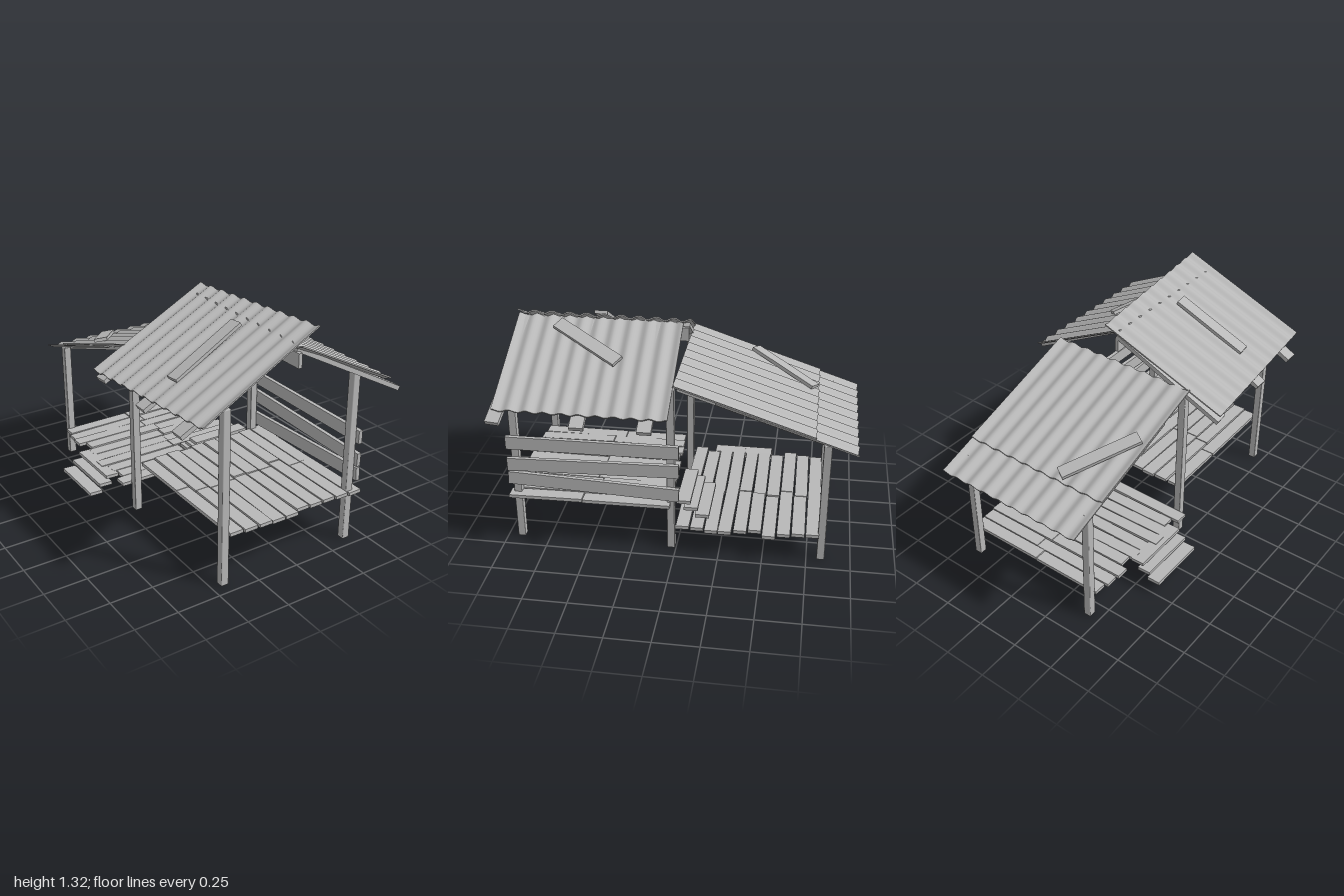
import * as THREE from 'three';
import { RoundedBoxGeometry } from 'three/addons/geometries/RoundedBoxGeometry.js';

const grey = new THREE.MeshStandardMaterial({ color: 0xb8b8b8 });
grey.name = 'weathered grey';
const deg = Math.PI / 180;

// Small repeatable wobble in the range -1..1
let seed = 7;
const wobble = () => {
  seed = (seed * 16807) % 2147483647;
  return (seed / 2147483647) * 2 - 1;
};

// Place a part: its local x runs along the heading (yaw), climbs by slope, then turns by spin in that plane
function place(parent, name, geometry, pos, yaw = 0, slope = 0, spin = 0) {
  const mesh = new THREE.Mesh(geometry, grey);
  mesh.name = name;
  mesh.position.set(...pos);
  const turn = (x, y, z, a) =>
    new THREE.Quaternion().setFromAxisAngle(new THREE.Vector3(x, y, z), a * deg);
  mesh.quaternion
    .multiply(turn(0, 1, 0, yaw))
    .multiply(turn(0, 0, 1, slope))
    .multiply(turn(0, 1, 0, spin));
  parent.add(mesh);
  return mesh;
}

const board = (l, t, w) => new THREE.BoxGeometry(l, t, w);

// Corrugated sheet: a thin slab with waves across z
function sheet(length, width, waves) {
  const g = new THREE.BoxGeometry(length, 0.008, width, 1, 1, waves * 8);
  const p = g.attributes.position;
  for (let i = 0; i < p.count; i++) {
    const a = (p.getZ(i) / width + 0.5) * waves * Math.PI * 2;
    p.setY(i, p.getY(i) + 0.009 * Math.cos(a));
  }
  g.computeVertexNormals();
  return g;
}

function addGroup(parent, name) {
  const g = new THREE.Group();
  g.name = name;
  parent.add(g);
  return g;
}

export function createModel() {
  seed = 7;
  const model = new THREE.Group();
  model.name = 'shack';

  // Posts: tall at the front and middle, short at the back
  const posts = addGroup(model, 'posts');
  for (const x of [-0.427, 0.393]) {
    for (const [z, h] of [[0.92, 1.012], [0.029, 1.012], [-0.831, 0.735]]) {
      place(posts, 'post', new RoundedBoxGeometry(0.045, h, 0.045, 1, 0.005), [x, h / 2, z]);
    }
  }

  // Upper floor: planks running front to back, each row in two pieces
  const upper = addGroup(model, 'upperFloor');
  for (let i = 0; i < 10; i++) {
    const x = -0.362 + i * 0.0865;
    const joint = 0.49 + wobble() * 0.06;
    const ends = [0.04 + wobble() * 0.015, joint, 0.955 + wobble() * 0.015];
    for (let k = 0; k < 2; k++) {
      const l = ends[k + 1] - ends[k] - 0.004;
      place(upper, 'floorPlank', board(l, 0.02, 0.079),
        [x, 0.3 + wobble() * 0.004, (ends[k] + ends[k + 1]) / 2],
        -90 + wobble() * 0.6, wobble() * 0.5);
    }
  }

  // Lower floor: planks running side to side
  const lower = addGroup(model, 'lowerFloor');
  for (let i = 0; i < 10; i++) {
    const z = -0.04 - i * 0.082;
    const joint = wobble() * 0.06;
    const ends = [-0.475 + wobble() * 0.035, joint, 0.455 + wobble() * 0.025];
    for (let k = 0; k < 2; k++) {
      const l = ends[k + 1] - ends[k] - 0.004;
      place(lower, 'floorPlank', board(l, 0.02, 0.075),
        [(ends[k] + ends[k + 1]) / 2, 0.163 + wobble() * 0.004, z],
        wobble() * 0.6, wobble() * 0.5);
    }
  }

  // Steps between the floors, and steps up from the ground on the right
  const steps = addGroup(model, 'steps');
  for (const [z, y] of [[-0.038, 0.287], [-0.08, 0.246], [-0.145, 0.203]]) {
    place(steps, 'innerStep', board(0.365, 0.02, 0.08), [0.19, y, z]);
  }
  for (const [x, y] of [[-0.5, 0.162], [-0.546, 0.12], [-0.612, 0.08]]) {
    place(steps, 'outerStep', board(0.08, 0.02, 0.36), [x, y, -0.31], 0, -2);
  }

  // Crooked side rails on the left
  const rails = addGroup(model, 'sideRails');
  for (const [y, tilt] of [[0.637, -0.4], [0.509, -1.5], [0.389, 2.4]]) {
    place(rails, 'rail', new THREE.BoxGeometry(0.984, 0.078, 0.024), [0.428, y, 0.471], -90, tilt);
  }

  // Gable frame: ridge beam and three rafters on each side
  const gable = addGroup(model, 'gableRoof');
  place(gable, 'ridgeBeam', board(0.022, 0.08, 0.97), [0, 1.17, 0.465]);
  for (const [z, spin] of [[0.04, 4], [0.49, 0], [0.84, 0]]) {
    place(gable, 'rightRafter', board(0.735, 0.026, 0.078), [-0.323, 1.06, z], 0, 27.3, spin);
  }
  for (const [z, spin] of [[0.128, 0], [0.49, 0], [0.915, -5]]) {
    place(gable, 'leftRafter', board(0.745, 0.026, 0.078), [0.332, 1.046, z], 0, -28, spin);
  }

  // Gable sheets, the right one slipped askew, each with a loose plank
  place(gable, 'rightSheet', sheet(0.81, 0.97, 10), [-0.263, 1.125, 0.475], 0, 25, 4.5);
  place(gable, 'leftSheet', sheet(0.69, 0.95, 10), [0.306, 1.084, 0.485], 0, -26.9);
  place(gable, 'rightLoosePlank', board(0.47, 0.02, 0.076), [-0.28, 1.142, 0.522], 0, 26.5, 5);
  place(gable, 'leftLoosePlank', board(0.46, 0.02, 0.076), [0.185, 1.168, 0.525], 0, -26.9, 56.5);

  // Lean-to roof at the back: rafters, two overlapping sheets and a loose plank
  const leanTo = addGroup(model, 'leanToRoof');
  const pitch = 18.3;
  for (const x of [-0.36, -0.005, 0.333]) {
    place(leanTo, 'leanToRafter', board(0.9, 0.024, 0.078), [x, 0.858, -0.43], -90, pitch);
  }
  place(leanTo, 'upperSheet', sheet(0.82, 0.91, 9), [-0.02, 0.906, -0.375], -90, pitch);
  place(leanTo, 'lowerSheet', sheet(0.82, 0.91, 9), [-0.02, 0.818, -0.607], -90, pitch);
  place(leanTo, 'leanToLoosePlank', board(0.46, 0.02, 0.076), [-0.296, 0.87, -0.556], -90, pitch, -32);

  return model;
}
